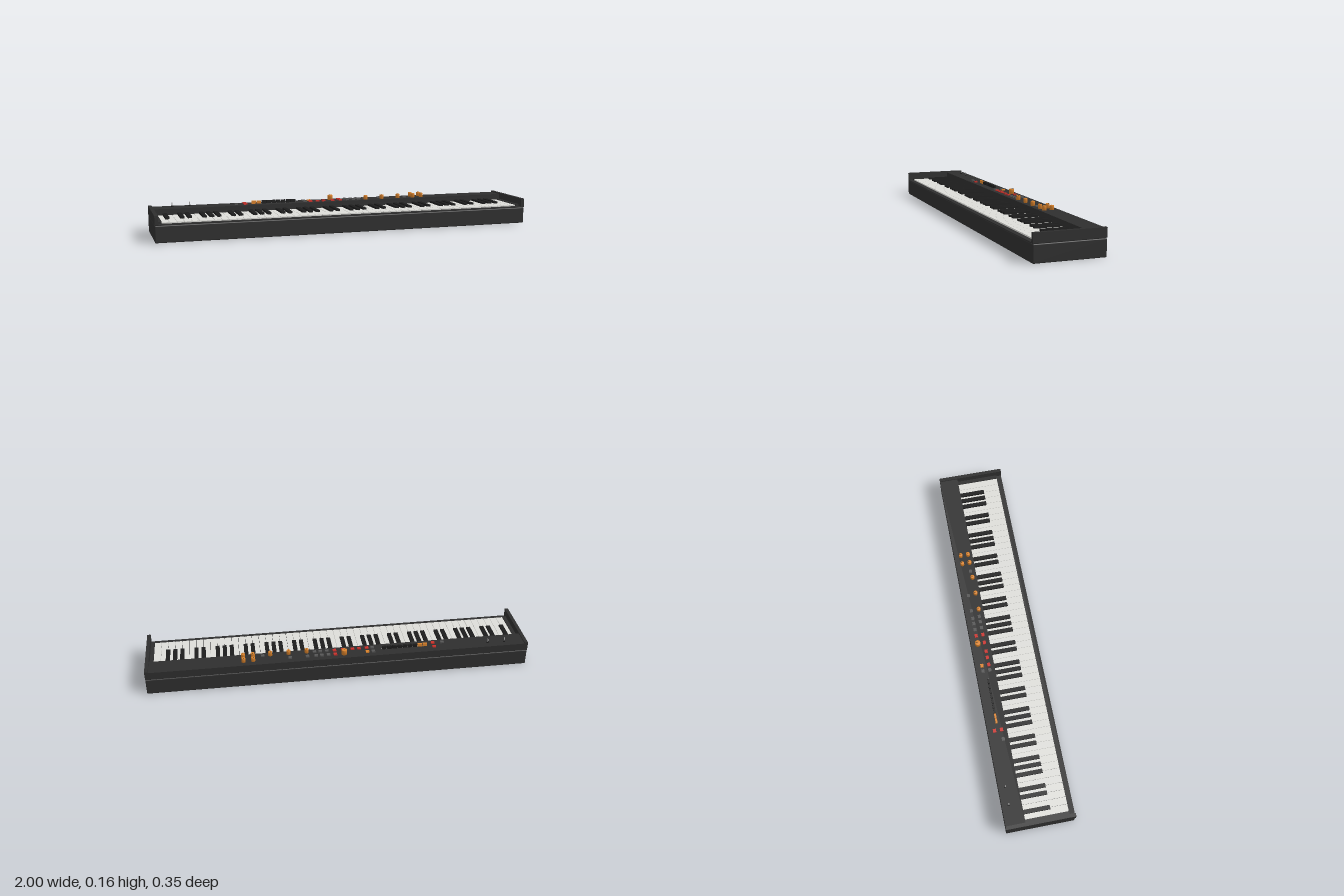
import * as THREE from 'three';
import { RoundedBoxGeometry } from 'three/addons/geometries/RoundedBoxGeometry.js';

const mat = (name, color, opts = {}) =>
  Object.assign(new THREE.MeshStandardMaterial({ color, ...opts }), { name });

export function createModel() {
  const root = new THREE.Group();
  root.name = 'stagePiano';
  const body = mat('charcoal body', 0x2e2e2e);
  const black = mat('black', 0x1c1c1c);
  const ivory = mat('ivory', 0xdcdcd8);
  const orange = mat('orange', 0xd9822b);
  const red = mat('red', 0xc8302a);
  const grey = mat('button grey', 0x555555);
  const silver = mat('silver', 0xb4b4b4);

  const add = (name, geometry, material, x, y, z, parent = root) => {
    const m = new THREE.Mesh(geometry, material);
    m.name = name;
    m.position.set(x, y, z);
    parent.add(m);
    return m;
  };
  // Box given by its bounds
  const block = (name, material, x0, x1, y0, y1, z0, z1, parent) =>
    add(name, new THREE.BoxGeometry(x1 - x0, y1 - y0, z1 - z0), material,
      (x0 + x1) / 2, (y0 + y1) / 2, (z0 + z1) / 2, parent);
  const group = (name) => {
    const g = new THREE.Group();
    g.name = name;
    root.add(g);
    return g;
  };

  // Case: lower tray, rear control panel, end cheeks and key surround
  add('lowerCase', new RoundedBoxGeometry(2, 0.086, 0.352, 2, 0.005), body, 0, 0.043, 0);
  block('seam', black, -0.997, 0.997, 0.082, 0.089, -0.173, 0.173);
  const panelTop = 0.129;
  block('controlPanel', body, -0.982, 0.982, 0.088, panelTop, -0.176, -0.076);
  block('frontRail', body, -0.982, 0.982, 0.086, 0.091, 0.149, 0.176);
  for (const s of [-1, 1]) {
    const side = s < 0 ? 'right' : 'left';
    add(side + 'Cheek', new THREE.BoxGeometry(0.018, 0.047, 0.352), body, s * 0.991, 0.1115, 0);
    add(side + 'KeyBlock', new THREE.BoxGeometry(0.02, 0.014, 0.225), body, s * 0.973, 0.094, 0.0365);
  }

  // Eighty-eight keys, starting on A
  const keys = group('keyboard');
  const start = -0.963, pitch = 1.926 / 52;
  const sharpAfter = [1, 0, 1, 1, 0, 1, 1]; // A B C D E F G
  for (let i = 0; i < 52; i++) {
    const x = start + i * pitch;
    block('whiteKey', ivory, x + 0.0008, x + pitch - 0.0008, 0.086, 0.097, -0.077, 0.148, keys);
    if (sharpAfter[i % 7] && i < 51) {
      const c = x + pitch;
      block('blackKey', black, c - 0.0105, c + 0.0105, 0.09, 0.107, -0.077, 0.06, keys);
    }
  }

  // Two small metal levers
  const controls = group('controls');
  for (const x of [-0.88, -0.79]) {
    add('leverBase', new THREE.CylinderGeometry(0.006, 0.006, 0.006, 16), black, x, panelTop + 0.003, -0.14, controls);
    add('lever', new THREE.CylinderGeometry(0.003, 0.002, 0.02, 12), silver, x, panelTop + 0.013, -0.14, controls);
  }

  // Nine drawbars over a slotted strip
  block('drawbarStrip', silver, -0.465, -0.22, panelTop, panelTop + 0.001, -0.123, -0.119, controls);
  for (let i = 0; i < 9; i++) {
    const x = -0.453 + i * 0.027;
    block('drawbar', i < 2 ? orange : black, x - 0.0115, x + 0.0115,
      panelTop, 0.145, -0.127, -0.117, controls);
  }

  // Push buttons in two rows
  const back = -0.14, front = -0.104;
  const buttons = [
    [grey, front, [-0.55, -0.175, 0.4, 0.065, 0.1, 0.13]],
    [red, front, [-0.5, -0.145, -0.105, -0.07, -0.02, 0.025]],
    [red, back, [-0.5, 0.025]],
    [grey, back, [-0.175, 0.06, 0.095, 0.125, 0.17, 0.26]],
    [orange, back, [-0.145]],
  ];
  for (const [material, z, xs] of buttons) {
    for (const x of xs) {
      block('button', material, x - 0.009, x + 0.009, panelTop, 0.136, z - 0.008, z + 0.008, controls);
    }
  }

  // Rotary knobs: [x, z, radius, top]
  const knobs = [
    [-0.022, back, 0.0145, 0.156],
    ...[0.17, 0.265, 0.36, 0.45, 0.5].map((x) => [x, -0.1, 0.0105, 0.152]),
    ...[0.45, 0.5].map((x) => [x, back, 0.0105, 0.152]),
  ];
  for (const [x, z, r, top] of knobs) {
    const h = top - panelTop;
    const profile = [[0, 0], [r, 0], [r, h - 0.002], [r - 0.002, h], [0, h]]
      .map(([a, b]) => new THREE.Vector2(a, b));
    const geometry = new THREE.LatheGeometry(profile, 20);
    add('knob', geometry, orange, x, panelTop, z, controls);
    block('knobPointer', black, x - 0.001, x + 0.001, top, top + 0.0005, z - r * 0.8, z, controls);
  }
  return root;
}
